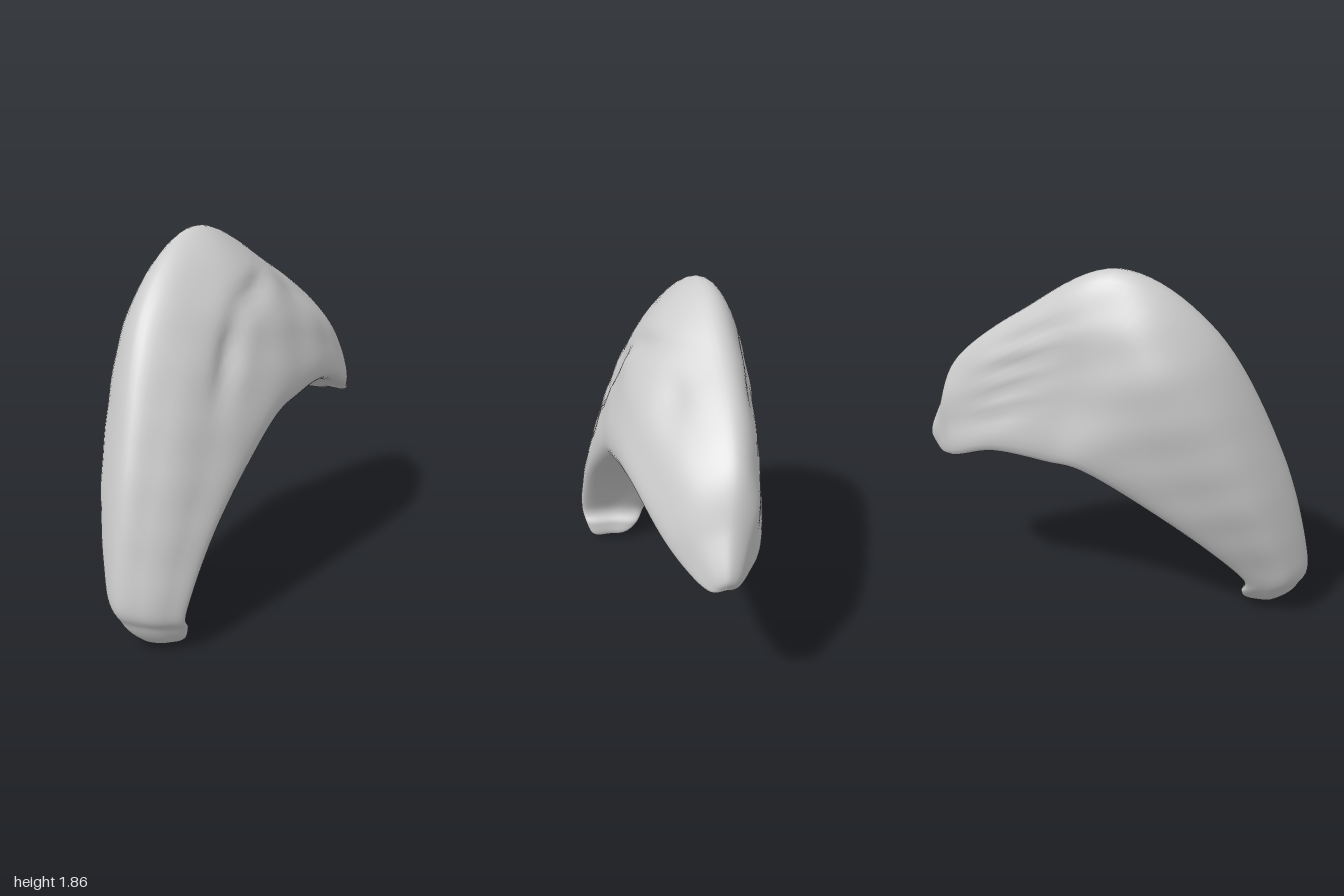
import * as THREE from 'three';
import { mergeVertices } from 'three/addons/utils/BufferGeometryUtils.js';

const V = (x, y, z) => new THREE.Vector3(x, y, z);

// Cross-sections along the arc, foot to tip: outer ridge, inner front edge, inner back edge.
const footEnd = V(-0.77, 0, 0.25), tipEnd = V(0.985, 0.805, -0.16);
const stations = [
  [footEnd, footEnd, footEnd],
  [V(-0.87, 0.05, 0.24), V(-0.71, 0.03, 0.34), V(-0.7, 0.04, 0.16)],
  [V(-0.96, 0.16, 0.21), V(-0.71, 0.11, 0.38), V(-0.69, 0.11, 0.09)],
  [V(-1.0, 0.34, 0.2), V(-0.73, 0.23, 0.4), V(-0.7, 0.24, 0.02)],
  [V(-0.86, 0.93, 0.1), V(-0.5, 0.58, 0.37), V(-0.42, 0.57, -0.2)],
  [V(-0.56, 1.57, -0.08), V(-0.08, 0.95, 0.3), V(-0.03, 0.87, -0.38)],
  [V(-0.1, 1.86, -0.2), V(0.17, 1.04, 0.26), V(0.21, 0.895, -0.38)],
  [V(0.41, 1.6, -0.24), V(0.43, 1.05, 0.2), V(0.5, 0.9, -0.38)],
  [V(0.77, 1.32, -0.23), V(0.72, 0.92, 0.09), V(0.73, 0.82, -0.34)],
  [V(0.91, 1.05, -0.19), V(0.86, 0.82, -0.01), V(0.84, 0.78, -0.28)],
  [V(0.995, 0.88, -0.17), V(0.96, 0.785, -0.09), V(0.92, 0.765, -0.22)],
  [tipEnd, tipEnd, tipEnd],
];

// A point on the face between ridge and edge, pushed out to give a full cheek.
function cheek(ridge, edge, t, fullness) {
  const p = ridge.clone().lerp(edge, t);
  p.z = THREE.MathUtils.lerp(ridge.z, edge.z, fullness);
  return p;
}

// Eight points of one cross-section: a rounded wedge with a broad inner face.
function section([ridge, front, back]) {
  return [
    ridge, cheek(ridge, front, 0.24, 0.56), cheek(ridge, front, 0.6, 0.9), front,
    front.clone().lerp(back, 0.5),
    back, cheek(ridge, back, 0.6, 1.08), cheek(ridge, back, 0.22, 0.86),
  ];
}

// A long worn hollow centred at x, y and turned by angle.
function hollow(p, x, y, length, width, angle, depth) {
  const c = Math.cos(angle), s = Math.sin(angle);
  const u = (p.x - x) * c + (p.y - y) * s;
  const v = (p.y - y) * c - (p.x - x) * s;
  return depth * Math.exp(-((u / length) ** 2) - (v / width) ** 2);
}

function frontHollows(p) {
  return hollow(p, -0.27, 1.32, 0.2, 0.06, 1.0, 0.045)
    + hollow(p, 0.02, 1.58, 0.2, 0.05, 0.35, 0.03)
    + hollow(p, 0.4, 1.47, 0.13, 0.05, -0.6, 0.035);
}

// Parallel furrows step down the upper back face
function backHollows(p) {
  let depth = 0;
  for (let k = 0; k < 4; k++) {
    depth += hollow(p, 0.3 + k * 0.05, 1.52 - k * 0.14, 0.22, 0.04, -0.4, 0.025);
  }
  return depth;
}

function crescentGeometry(rows = 110, cols = 64) {
  // Run a smooth lane through each section point, then close a ring across the lanes.
  const sections = stations.map(section);
  const lanes = sections[0].map((_, k) =>
    new THREE.CatmullRomCurve3(sections.map((s) => s[k]), false, 'catmullrom', 0.5));
  const pos = [], idx = [];
  for (let i = 0; i <= rows; i++) {
    const ring = new THREE.CatmullRomCurve3(
      lanes.map((lane) => lane.getPoint(i / rows)), true, 'catmullrom', 0.5);
    const ends = Math.sin((i / rows) * Math.PI);
    for (let j = 0; j < cols; j++) {
      const s = j / cols;
      const p = ring.getPoint(s);
      // Hollows and gentle ripples fade out at the ridge and the inner edges
      const front = s < 0.375 ? Math.sin((s / 0.375) * Math.PI) : 0;
      const back = s > 0.625 ? Math.sin(((1 - s) / 0.375) * Math.PI) : 0;
      const ripple = 0.006 * ends
        * Math.sin(p.x * 13 + p.y * 9) * Math.sin(p.y * 15 - p.x * 7);
      p.z += front * (ripple - frontHollows(p)) + back * (ripple + backHollows(p));
      pos.push(p.x, Math.max(p.y, 0), p.z);
      if (i < rows) {
        const a = i * cols + j, b = i * cols + (j + 1) % cols;
        idx.push(a, b, a + cols, b, b + cols, a + cols);
      }
    }
  }
  const geometry = new THREE.BufferGeometry();
  geometry.setAttribute('position', new THREE.Float32BufferAttribute(pos, 3));
  geometry.setIndex(idx);
  const merged = mergeVertices(geometry, 1e-5);
  merged.computeVertexNormals();
  return merged;
}

export function createModel() {
  const group = new THREE.Group();
  group.name = 'crescentStone';
  const body = new THREE.Mesh(crescentGeometry(),
    new THREE.MeshStandardMaterial({ color: 0xcccccc }));
  body.name = 'crescentBody';
  group.add(body);
  return group;
}
